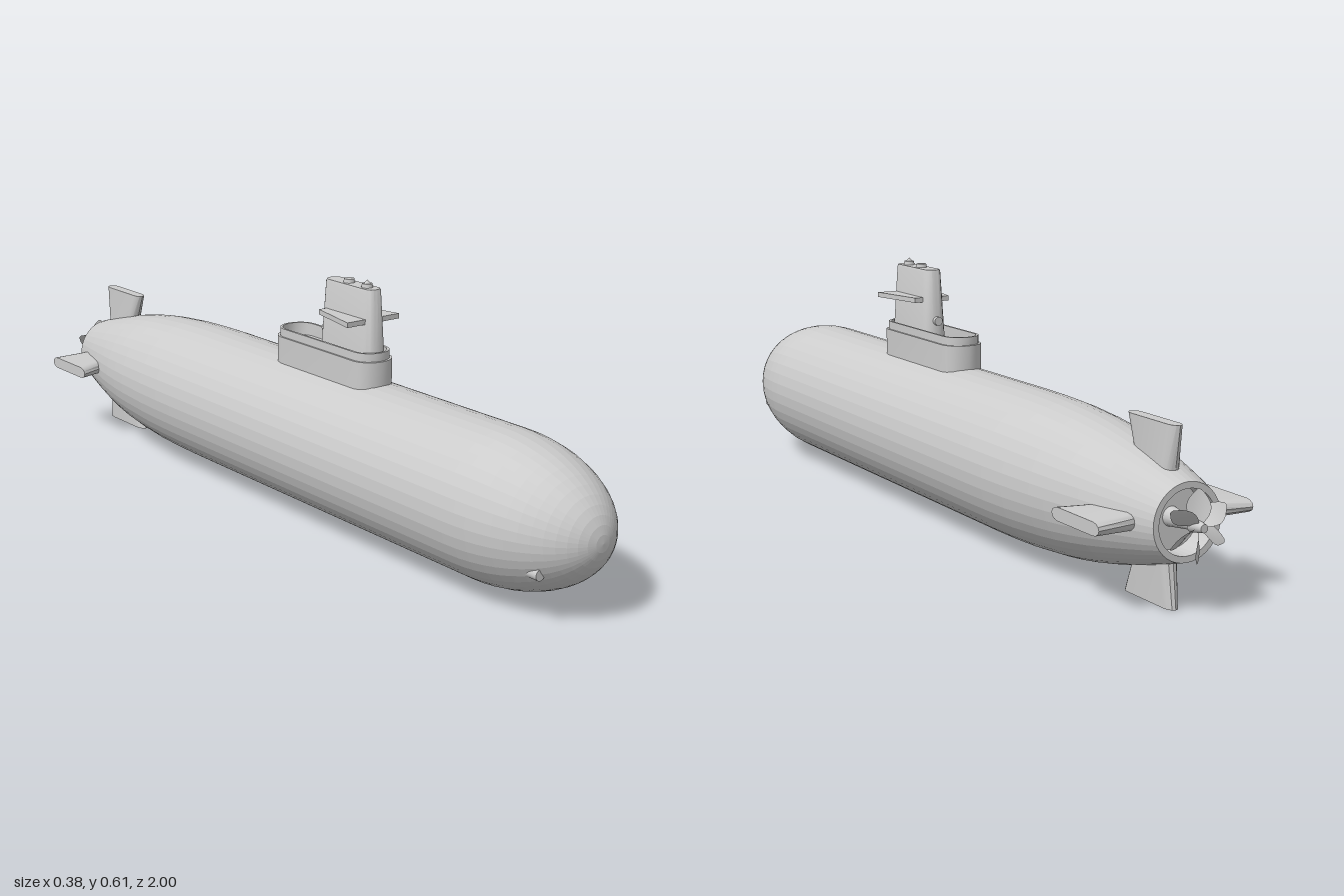
import * as THREE from 'three';
import { toCreasedNormals } from 'three/addons/utils/BufferGeometryUtils.js';

const AXIS_Y = 0.192; // height of the hull centreline
const HULL_R = 0.173;

const grey = new THREE.MeshStandardMaterial({ color: 0xcccccc });
const greyFlat = new THREE.MeshStandardMaterial({ color: 0xcccccc, flatShading: true });
const greyThin = new THREE.MeshStandardMaterial({ color: 0xcccccc, side: THREE.DoubleSide });

function add(parent, name, geometry, material = grey) {
  const mesh = new THREE.Mesh(geometry, material);
  mesh.name = name;
  parent.add(mesh);
  return mesh;
}

// Stacks round-ended slots along y; each level is [y, halfWidth, zFront, zBack, endLength]
function loftSlots(levels, n = 8) {
  const pos = [], index = [], count = 2 * (n + 1);
  for (const [y, w, zf, zb, e] of levels) {
    for (let end = 0; end < 2; end++) {
      for (let i = 0; i <= n; i++) {
        const a = -Math.PI / 2 + Math.PI * (i / n + end);
        pos.push(w * Math.sin(a), y, (end ? zb + e : zf - e) + e * Math.cos(a));
      }
    }
  }
  const top = levels.length - 1;
  for (let l = 0; l < top; l++) {
    for (let i = 0; i < count; i++) {
      const a = l * count + i, b = l * count + (i + 1) % count;
      index.push(a, b, b + count, a, b + count, a + count);
    }
  }
  // end caps
  for (let i = 1; i < count - 1; i++) {
    index.push(0, i + 1, i, top * count, top * count + i, top * count + i + 1);
  }
  const g = new THREE.BufferGeometry();
  g.setAttribute('position', new THREE.Float32BufferAttribute(pos, 3));
  g.setIndex(index);
  return toCreasedNormals(g, 0.6);
}

// Leaf-shaped blade along +y, pitched less towards the tip
function bladeGeometry() {
  const g = new THREE.PlaneGeometry(2, 1, 4, 8);
  const p = g.attributes.position;
  for (let i = 0; i < p.count; i++) {
    const v = p.getY(i) + 0.5;
    const w = p.getX(i) * 0.025 * Math.sin(Math.PI * (0.15 + 0.8 * v));
    const pitch = 1.0 - 0.4 * v;
    p.setXYZ(i, w * Math.cos(pitch), 0.01 + 0.067 * v, w * Math.sin(pitch));
  }
  g.computeVertexNormals();
  return g;
}

function buildHull(parent) {
  // recessed stern, tapering tail, straight body, elliptical bow
  const profile = [
    [0, -0.89], [0.07, -0.89], [0.07, -0.945], [0.084, -0.945], [0.098, -0.9], [0.112, -0.85],
    [0.125, -0.8], [0.137, -0.75], [0.147, -0.7], [0.155, -0.65], [0.161, -0.6],
    [0.169, -0.5], [0.172, -0.42], [HULL_R, -0.35],
  ].map(([r, z]) => new THREE.Vector2(r, z));
  for (let i = 0; i <= 14; i++) {
    const a = (i / 14) * Math.PI / 2;
    profile.push(new THREE.Vector2(i === 14 ? 0 : HULL_R * Math.cos(a), 0.7 + 0.3 * Math.sin(a)));
  }
  const hull = add(parent, 'hull', new THREE.LatheGeometry(profile, 40), greyFlat);
  hull.rotation.x = Math.PI / 2;
  hull.position.y = AXIS_Y;

  for (const s of [-1, 1]) {
    const tube = add(parent, 'torpedoTube', new THREE.CylinderGeometry(0.013, 0.013, 0.05, 20));
    tube.rotation.x = Math.PI / 2;
    tube.position.set(s * 0.098, 0.123, 0.897);
  }
}

function buildSail(parent) {
  const sail = new THREE.Group();
  sail.name = 'sail';
  parent.add(sail);

  // stepped base with a sunken deck inside its rim
  add(sail, 'sailBase', loftSlots([
    [0.33, 0.052, 0.3, -0.072, 0.045], [0.423, 0.052, 0.3, -0.072, 0.045],
    [0.423, 0.047, 0.294, -0.066, 0.042], [0.443, 0.047, 0.294, -0.066, 0.042],
    [0.443, 0.041, 0.288, -0.06, 0.038], [0.412, 0.041, 0.288, -0.06, 0.038],
  ]));
  add(sail, 'tower', loftSlots([
    [0.4, 0.031, 0.286, 0.086, 0.025],
    [0.583, 0.022, 0.275, 0.099, 0.02],
    [0.588, 0.02, 0.273, 0.101, 0.018],
  ]));

  // diving planes, straight leading edge and raked tips
  const outline = new THREE.Shape([[0, 0.262], [0.077, 0.262], [0.047, 0.118], [0, 0.118]]
    .map(([x, z]) => new THREE.Vector2(x, -z)).reverse());
  for (const s of [-1, 1]) {
    const plane = add(sail, 'sailPlane', new THREE.ExtrudeGeometry(outline, { depth: 0.012, bevelEnabled: false }));
    // turning the outline over mirrors it to the other side
    plane.rotation.set(-Math.PI / 2, 0, 0);
    plane.position.y = 0.507;
    if (s < 0) plane.scale.x = -1;
  }

  // mast caps on the roof and a round hatch on the rear face
  for (const z of [0.238, 0.172]) {
    const cap = add(sail, 'mastCap', new THREE.CylinderGeometry(0.012, 0.014, 0.01, 16));
    cap.position.set(0, 0.592, z);
  }
  const tip = add(sail, 'mastTip', new THREE.ConeGeometry(0.009, 0.009, 12));
  tip.position.set(0, 0.601, 0.238);
  const hatch = add(sail, 'rearHatch', new THREE.CylinderGeometry(0.011, 0.011, 0.012, 16));
  hatch.rotation.x = Math.PI / 2;
  hatch.position.set(0, 0.462, 0.088);
}

function buildStern(parent) {
  const stern = new THREE.Group();
  stern.name = 'stern';
  stern.position.y = AXIS_Y;
  parent.add(stern);

  // four fins, broader at the tip than at the root
  const finGeo = loftSlots([
    [0.085, 0.02, -0.785, -0.9, 0.022],
    [0.192, 0.0145, -0.742, -0.914, 0.022],
  ], 6);
  for (let i = 0; i < 4; i++) {
    add(stern, 'tailFin', finGeo).rotation.z = i * Math.PI / 2;
  }

  const shaft = add(stern, 'propellerShaft', new THREE.CylinderGeometry(0.01, 0.022, 0.09, 16));
  shaft.rotation.x = -Math.PI / 2;
  shaft.position.z = -0.93;
  const hub = add(stern, 'propellerHub', new THREE.CylinderGeometry(0.009, 0.016, 0.036, 16));
  hub.rotation.x = -Math.PI / 2;
  hub.position.z = -0.982;
  const blade = bladeGeometry();
  for (let i = 0; i < 6; i++) {
    const b = add(stern, 'propellerBlade', blade, greyThin);
    b.rotation.z = i * Math.PI / 3;
    b.position.z = -0.98;
  }
}

export function createModel() {
  const model = new THREE.Group();
  model.name = 'submarine';
  buildHull(model);
  buildSail(model);
  buildStern(model);
  return model;
}
